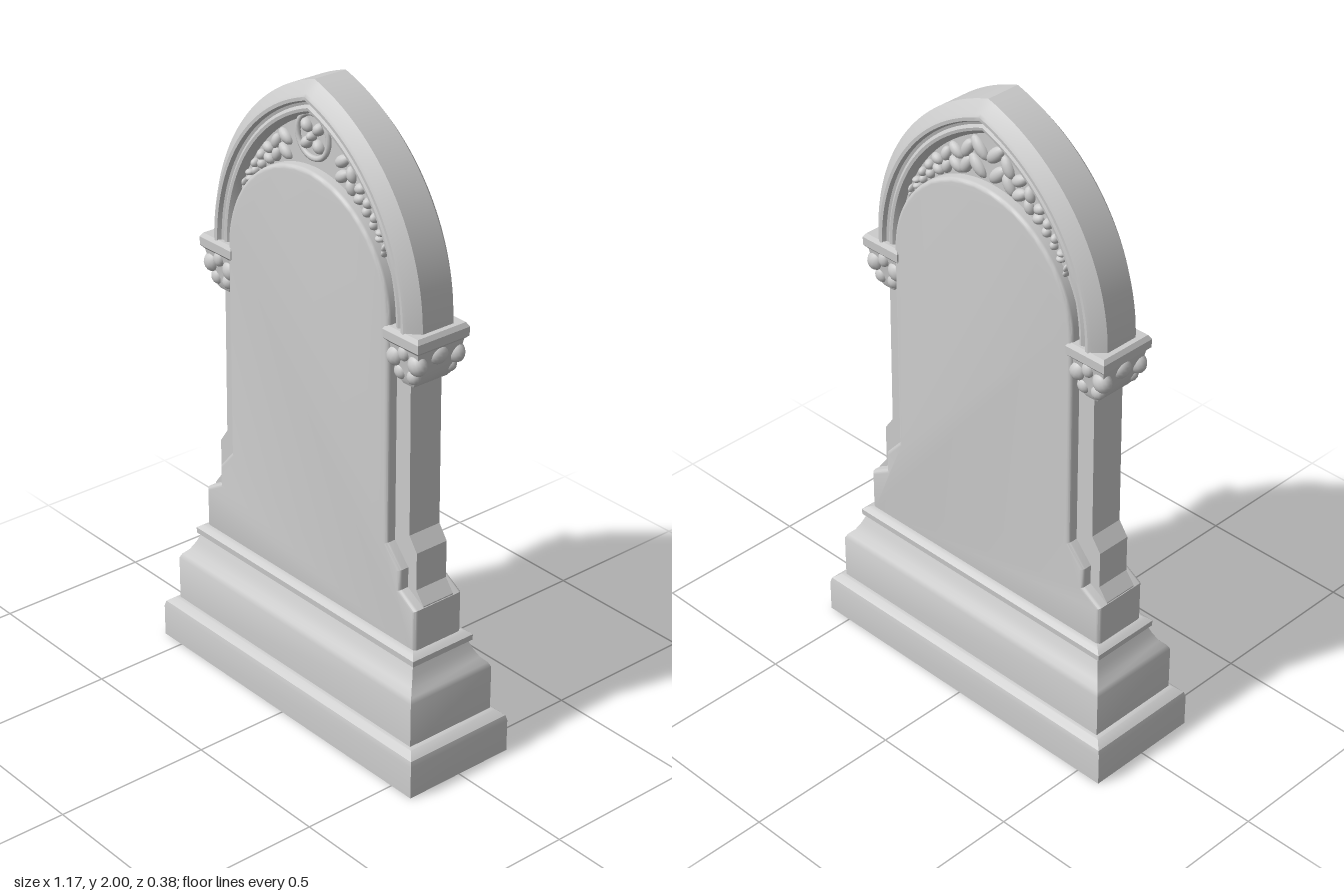
import * as THREE from 'three';
import { toCreasedNormals } from 'three/addons/utils/BufferGeometryUtils.js';

const SPRING = 1.39;          // height where the arches begin
const C = 0.181, R = 0.636;   // pointed arch: centre offset and radius

// Point on the pointed arch, u from -1 (right foot) over the apex to 1 (left foot), inset by d
function archPoint(u, d) {
  const r = R - d, a = Math.acos(C / r) * (1 - Math.abs(u));
  const x = u === 0 ? 0 : Math.sign(u) * (r * Math.cos(a) - C);
  return [x, SPRING + r * Math.sin(a)];
}

// Skin a list of equally long vertex rows
function skin(rows, closed, crease) {
  const n = rows[0].length, index = [];
  for (let i = 0; i < rows.length - 1; i++) {
    for (let j = 0; j < (closed ? n : n - 1); j++) {
      const k = (j + 1) % n, a = i * n + j, b = i * n + k;
      index.push(a, b, b + n, a, b + n, a + n);
    }
  }
  const g = new THREE.BufferGeometry();
  g.setAttribute('position', new THREE.Float32BufferAttribute(rows.flat(2), 3));
  g.setIndex(index);
  return toCreasedNormals(g, crease);
}

// Rectangular moulded block from a profile of [y, half width, half depth], capped at both ends
function mouldedBlock(profile) {
  const ring = ([y, x, z]) => [[-x, y, z], [x, y, z], [x, y, -z], [-x, y, -z]];
  const first = profile[0], last = profile[profile.length - 1];
  return skin([[first[0], 0, 0], ...profile, [last[0], 0, 0]].map(ring), true, 0.5);
}

// Extrude a symmetric outline with softened edges, centred on z = 0
function slab(outline, half, bevel) {
  const shape = new THREE.Shape(outline.map(([x, y]) => new THREE.Vector2(x, y)));
  const g = new THREE.ExtrudeGeometry(shape, {
    depth: 2 * (half - bevel), bevelEnabled: bevel > 0, bevelThickness: bevel,
    bevelSize: bevel, bevelOffset: -bevel, bevelSegments: 3,
  });
  g.translate(0, 0, bevel - half);
  return toCreasedNormals(g, 0.6);
}

const mirrored = (half) => [...half, ...half.map(([x, y]) => [-x, y]).reverse()];

export function createModel() {
  const group = new THREE.Group();
  const material = new THREE.MeshStandardMaterial({ color: 0xcccccc, side: THREE.DoubleSide });
  const add = (name, geometry, parent = group) => {
    const mesh = new THREE.Mesh(geometry, material);
    mesh.name = name;
    parent.add(mesh);
    return mesh;
  };
  const blob = new THREE.SphereGeometry(1, 14, 10);
  const addBlob = (name, parent, pos, scale, turn = 0) => {
    const m = add(name, blob, parent);
    m.position.set(...pos);
    m.scale.set(...scale);
    m.rotation.z = turn;
  };

  // Stepped base
  add('plinth', mouldedBlock([
    [0, 0.583, 0.19], [0.105, 0.583, 0.19], [0.122, 0.578, 0.186], [0.14, 0.555, 0.166], [0.143, 0.54, 0.155],
  ]));
  add('mouldedBase', mouldedBlock([
    [0.13, 0.542, 0.157], [0.285, 0.542, 0.157], [0.3, 0.535, 0.15], [0.318, 0.518, 0.133],
    [0.345, 0.504, 0.118], [0.37, 0.494, 0.108], [0.376, 0.503, 0.115],
    [0.395, 0.504, 0.116], [0.405, 0.49, 0.104], [0.41, 0.475, 0.092],
  ]));

  // Recessed core with stepped buttresses and pointed head
  const head = [];
  for (let i = 0; i < 24; i++) head.push(archPoint(1 - i / 24, 0.008));
  add('core', slab([...mirrored([
    [0.478, 0.39], [0.478, 0.545], [0.447, 0.585], [0.447, 0.705], [0.415, 0.75], [0.41, 1.3], [0.445, 1.34], ...head,
  ])], 0.057, 0));

  // Raised round-headed face panel, flaring into the buttress feet
  const round = [];
  for (let i = 0; i <= 24; i++) {
    const a = (i / 24) * Math.PI / 2;
    round.push([0.353 * Math.cos(a) + (i === 24 ? 0.001 : 0), SPRING + 0.353 * Math.sin(a)]);
  }
  add('facePanel', slab(mirrored([
    [0.48, 0.39], [0.48, 0.54], [0.412, 0.58], [0.412, 0.645], [0.354, 0.71], ...round,
  ]), 0.091, 0.012));

  // Pointed arch moulding: section of [inset, z], mirrored front to back
  const section = [
    [0, 0.056], [0.033, 0.086], [0.042, 0.091], [0.052, 0.09], [0.058, 0.078],
    [0.066, 0.075], [0.075, 0.081], [0.084, 0.079], [0.092, 0.068], [0.1, 0.055],
  ];
  const full = [...section.map(([d, z]) => [d, -z]).reverse(), ...section];
  const rows = [];
  for (let i = 0; i <= 64; i++) {
    const u = i / 32 - 1;
    rows.push(full.map(([d, z]) => [...archPoint(u, d), z]));
  }
  // Reverse the row order so the surface faces outward
  add('archMoulding', skin(rows.reverse(), false, 0.6));

  // Leafy capitals
  for (const side of [1, -1]) {
    const capital = new THREE.Group();
    capital.name = side > 0 ? 'leftCapital' : 'rightCapital';
    capital.position.x = side * 0.407;
    group.add(capital);
    add('capitalBell', mouldedBlock([
      [1.225, 0.02, 0.062], [1.24, 0.032, 0.07], [1.265, 0.042, 0.074], [1.32, 0.058, 0.08], [1.36, 0.064, 0.088],
    ]), capital);
    add('abacus', mouldedBlock([
      [1.345, 0.062, 0.086], [1.355, 0.072, 0.095], [1.382, 0.073, 0.096], [1.395, 0.064, 0.088],
    ]), capital);
    for (const z of [1, -1]) {
      for (const x of [1, -1]) {
        addBlob('leaf', capital, [x * 0.044, 1.305, z * 0.07], [0.029, 0.032, 0.026], x * 0.4);
        addBlob('lowerLeaf', capital, [x * 0.026, 1.262, z * 0.066], [0.022, 0.024, 0.019], -x * 0.4);
      }
      addBlob('middleLeaf', capital, [0, 1.33, z * 0.08], [0.02, 0.024, 0.016]);
    }
    addBlob('sideLeaf', capital, [side * 0.052, 1.32, 0], [0.02, 0.028, 0.032]);
  }

  // Foliage relief filling the band between panel and arch
  const innerR = R - 0.1;
  for (const z of [1, -1]) {
    const foliage = new THREE.Group();
    foliage.name = z > 0 ? 'frontFoliage' : 'backFoliage';
    group.add(foliage);
    for (const side of [1, -1]) {
      for (let i = 0; i < 9; i++) {
        const a = THREE.MathUtils.degToRad(34 + i * 6.4);
        if (z > 0 && i > 6) continue; // room for the rosette
        const outer = -C * Math.cos(a) + Math.sqrt(innerR ** 2 - (C * Math.sin(a)) ** 2);
        const gap = outer - 0.353;
        for (const k of [0.3, 0.72]) {
          const r = 0.353 + gap * k, t = a + (k - 0.5) * 0.08;
          addBlob('leafRelief', foliage,
            [side * r * Math.cos(t), SPRING + r * Math.sin(t), z * 0.057],
            [gap * 0.3, 0.012 + gap * 0.06, 0.018], side * (a + (i % 2 ? 0.7 : -0.7)) + (side < 0 ? Math.PI : 0));
        }
      }
    }
  }

  // Four-lobed rosette at the front apex
  const rosette = new THREE.Group();
  rosette.name = 'rosette';
  rosette.position.set(0, 1.835, 0.06);
  group.add(rosette);
  add('rosetteRing', new THREE.TorusGeometry(0.066, 0.009, 8, 32), rosette);
  for (let i = 0; i < 4; i++) {
    const a = i * Math.PI / 2 + Math.PI / 4;
    addBlob('petal', rosette, [0.036 * Math.cos(a), 0.036 * Math.sin(a), 0], [0.022, 0.017, 0.02], a);
  }
  addBlob('rosetteBoss', rosette, [0, 0, 0.004], [0.014, 0.014, 0.02]);

  return group;
}
